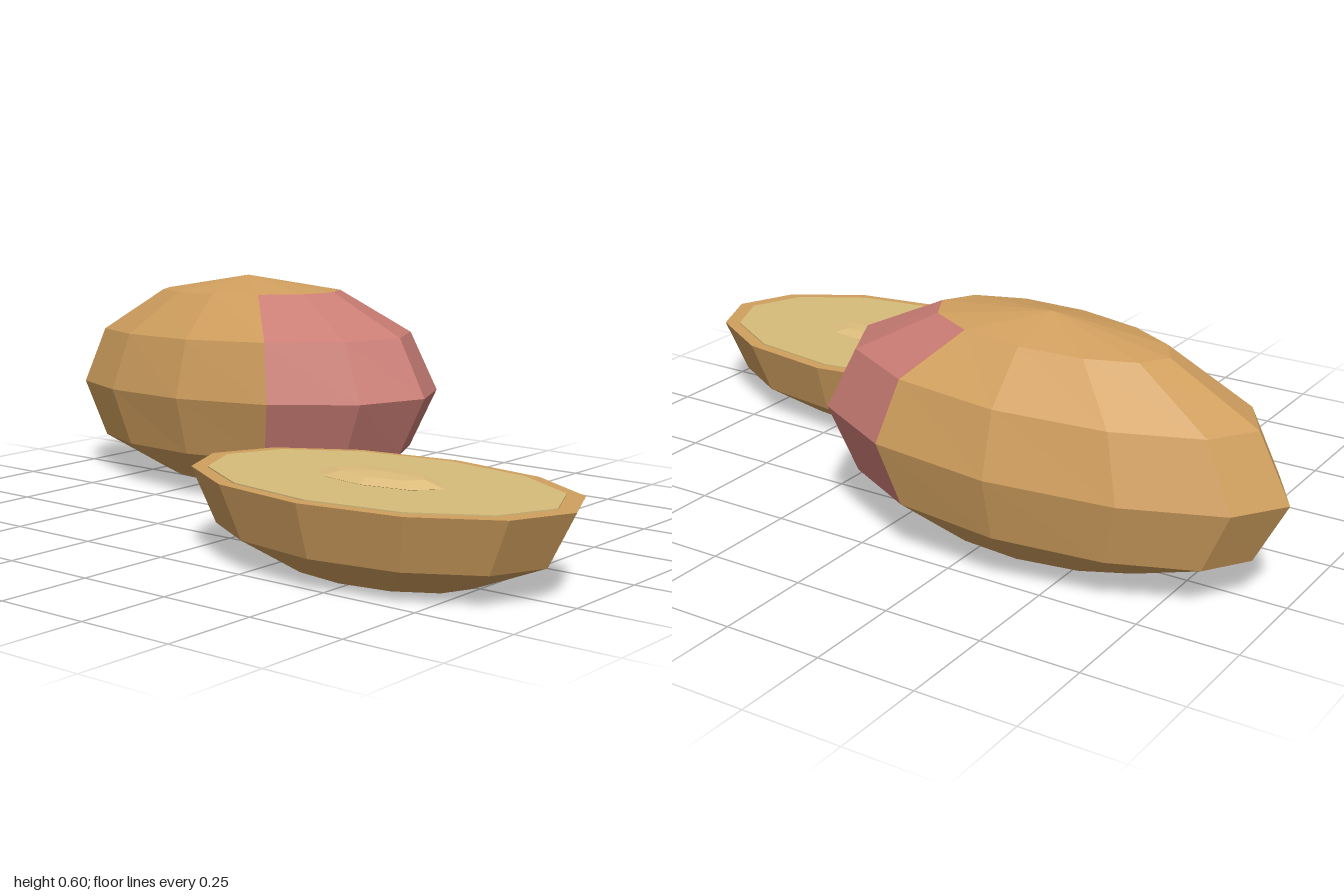
import * as THREE from 'three';

const mat = (name, color) => {
  const m = new THREE.MeshStandardMaterial({ color, flatShading: true });
  m.name = name;
  return m;
};

// Faces of a faceted unit sphere chosen by `keep`, then moved by the rule `place`
function facets(sphere, place, keep = () => true) {
  const p = sphere.toNonIndexed().attributes.position;
  const out = [];
  for (let i = 0; i < p.count; i += 3) {
    const tri = [0, 1, 2].map(k => new THREE.Vector3().fromBufferAttribute(p, i + k));
    if (keep(tri)) tri.forEach(v => out.push(...place(v).toArray()));
  }
  const g = new THREE.BufferGeometry();
  g.setAttribute('position', new THREE.Float32BufferAttribute(out, 3));
  g.computeVertexNormals();
  return g;
}

export function createModel() {
  const root = new THREE.Group();
  const skin = mat('golden skin', 0xd09f5e);
  const blush = mat('pink blush', 0xc97c74);
  const flesh = mat('pale flesh', 0xd6bb7a);
  const seedMat = mat('seed', 0xdcbc7c);

  const add = (parent, name, geometry, material) => {
    const m = new THREE.Mesh(geometry, material);
    m.name = name;
    parent.add(m);
    return m;
  };

  // Whole fruit: tapered, slightly tilted, flattened underneath
  const whole = new THREE.Group();
  whole.name = 'wholeFruit';
  whole.position.set(-0.39, 0, -0.272);
  root.add(whole);
  const placeWhole = v => new THREE.Vector3(
    v.x * 0.61,
    Math.max(0.03, 0.285 + v.y * 0.315 + v.x * 0.025),
    v.z * 0.3 * (1 + 0.16 * v.x));
  const isBlush = tri => {
    const c = tri[0].clone().add(tri[1]).add(tri[2]);
    const atPole = tri.some(v => Math.abs(v.y) > 0.99);
    return !atPole && Math.abs(Math.atan2(c.z, c.x)) < Math.PI / 3;
  };
  const ball = new THREE.SphereGeometry(1, 12, 6);
  add(whole, 'wholeSkin', facets(ball, placeWhole, t => !isBlush(t)), skin);
  add(whole, 'blushPatch', facets(ball, placeWhole, isBlush), blush);

  // Cut half: bowl of skin, rim, flesh plate and seed
  const half = new THREE.Group();
  half.name = 'halfFruit';
  half.position.set(0.477, 0, 0.26);
  root.add(half);
  const bowl = new THREE.SphereGeometry(1, 12, 3, 0, Math.PI * 2, Math.PI / 2, Math.PI / 2);
  add(half, 'halfSkin', facets(bowl, v => new THREE.Vector3(
    v.x * 0.523, Math.max(0, 0.213 + v.y * 0.268), v.z * 0.311)), skin);

  const rim = add(half, 'cutRim', new THREE.CircleGeometry(1, 12).rotateX(-Math.PI / 2), skin);
  rim.scale.set(0.523, 1, 0.311);
  rim.position.y = 0.213;

  const plate = add(half, 'flesh', new THREE.CylinderGeometry(1, 1, 0.004, 12), flesh);
  plate.scale.set(0.476, 1, 0.281);
  plate.position.y = 0.214;

  const seed = add(half, 'seed', new THREE.SphereGeometry(1, 8, 4), seedMat);
  seed.scale.set(0.18, 0.02, 0.081);
  seed.position.y = 0.217;

  return root;
}
